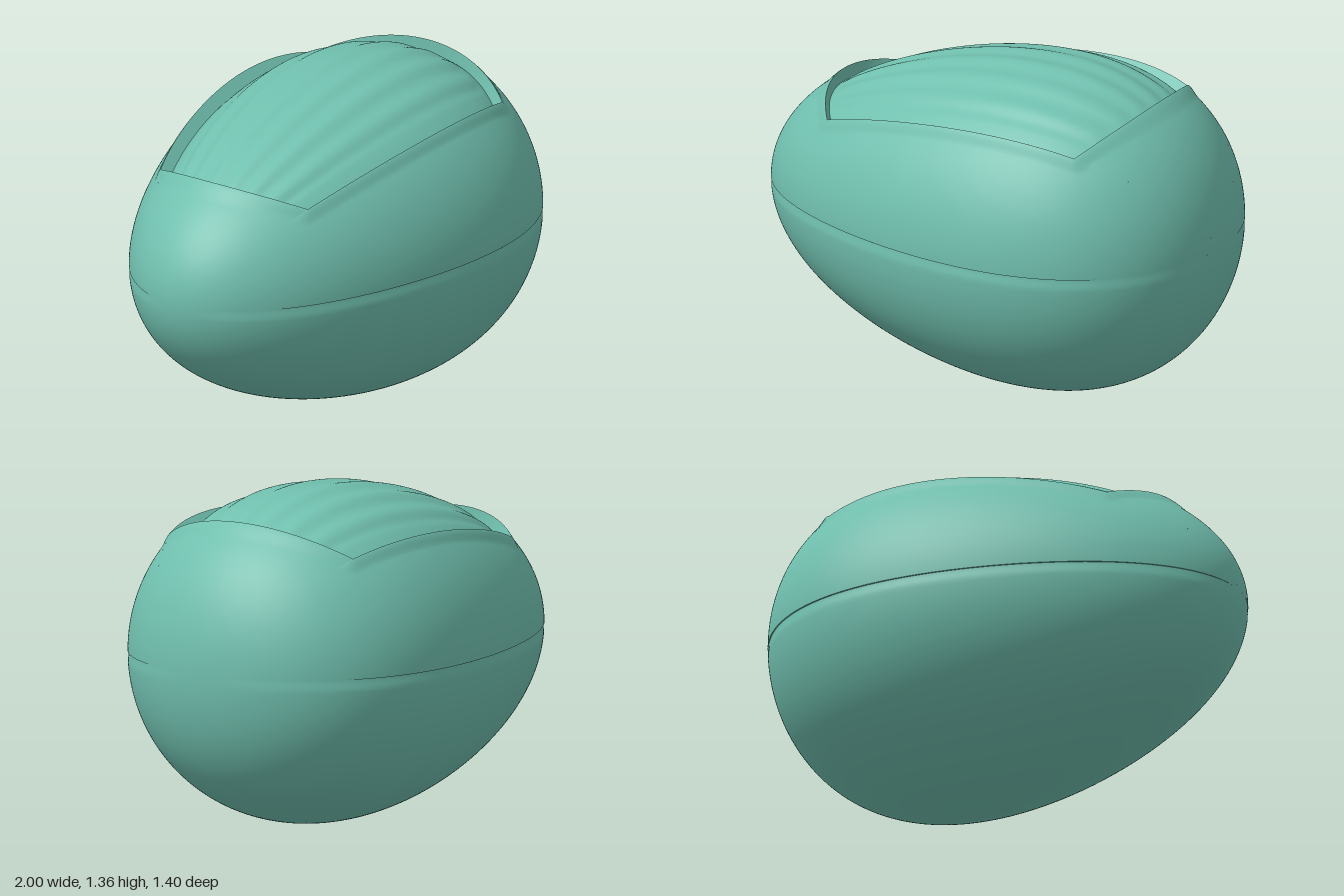
import * as THREE from 'three';

const AXIS_Y = 0.705;          // height of the egg's long axis
const SIDE = Math.PI / 4;      // half angle of the recessed panel
const DEPTH = 0.044;           // panel depth
const lerp = THREE.MathUtils.lerp;
const smooth = THREE.MathUtils.smoothstep;

// Radius of the plain egg at x
const eggR = (x) => Math.sqrt(Math.max(0, 1 - x * x)) * (0.683 + 0.142 * x + 0.061 * x * x);

// End of the panel at angle a around the axis
const panelEnd = (a) => {
  const c = Math.cos(Math.min(Math.abs(a), SIDE));
  return 1.027 * c / Math.sqrt(1 + c * c);
};

// Outer shell: egg plus a soft raised rim around the panel
const shellR = (x, a) => {
  const r = eggR(x);
  const da = Math.max(0, Math.abs(a) - SIDE) * r;
  const dx = Math.max(0, Math.abs(x) - panelEnd(a));
  return r + 0.012 * (1 - smooth(Math.hypot(da, dx), 0, 0.06)) * smooth(r, 0, 0.2);
};

// Panel floor: sunken, with shallow lengthwise ribs
const floorR = (x, a) => {
  const fade = smooth(panelEnd(a) - Math.abs(x), 0, 0.08) * (1 - smooth(Math.abs(a), 0.58, 0.7));
  return eggR(x) - DEPTH - 0.004 * Math.cos(Math.abs(a) * 30) * fade;
};

// Lower shell: its top edge is rounded inwards at the seam
const lowerR = (x, a) => {
  const r = eggR(x);
  const d = Math.min(a - Math.PI / 2, Math.PI * 1.5 - a) * r;
  return r - 0.007 * (1 - smooth(d, 0, 0.05)) * smooth(r, 0, 0.2);
};

const place = (x, a, r) => new THREE.Vector3(x, AXIS_Y + r * Math.cos(a), r * Math.sin(a));

// Grid surface over u, v in 0..1 with smooth normals from its tangents
function patch(fn, nu, nv) {
  const pos = [], nor = [], idx = [], e = 5e-4;
  for (let i = 0; i <= nu; i++) {
    for (let j = 0; j <= nv; j++) {
      const u = i / nu, v = j / nv;
      pos.push(...fn(u, v).toArray());
      const uc = Math.min(1 - 4 * e, Math.max(4 * e, u));
      const vc = Math.min(1 - e, Math.max(e, v));
      const du = fn(uc + e, vc).sub(fn(uc - e, vc));
      const dv = fn(uc, vc + e).sub(fn(uc, vc - e));
      nor.push(...dv.cross(du).normalize().toArray());
      if (i < nu && j < nv) {
        const p = i * (nv + 1) + j, q = p + nv + 1;
        idx.push(p, p + 1, q, q, p + 1, q + 1);
      }
    }
  }
  const g = new THREE.BufferGeometry();
  g.setAttribute('position', new THREE.Float32BufferAttribute(pos, 3));
  g.setAttribute('normal', new THREE.Float32BufferAttribute(nor, 3));
  g.setIndex(idx);
  return g;
}

export function createModel() {
  const model = new THREE.Group();
  const material = new THREE.MeshStandardMaterial({ color: 0x70bfae });
  const wallMaterial = new THREE.MeshStandardMaterial({ color: 0x70bfae, side: THREE.DoubleSide });
  const add = (name, geometry, mat = material) => {
    const mesh = new THREE.Mesh(geometry, mat);
    mesh.name = name;
    model.add(mesh);
  };
  const polar = (t) => -Math.cos(t * Math.PI);

  // Lower half of the shell
  add('lowerShell', patch((u, v) => {
    const x = polar(u), a = lerp(Math.PI / 2, Math.PI * 1.5, v);
    return place(x, a, lowerR(x, a));
  }, 120, 140));

  for (const s of [-1, 1]) {
    // Upper flanks between the seam and the panel
    const from = s > 0 ? SIDE : -Math.PI / 2;
    add(s > 0 ? 'frontFlank' : 'backFlank', patch((u, v) => {
      const x = polar(u), a = from + v * SIDE;
      return place(x, a, shellR(x, a));
    }, 140, 45));

    // Thin lip closing the step at the seam
    add('seamLip', patch((u, v) => {
      const x = polar(u);
      return place(x, s * Math.PI / 2, lerp(eggR(x), lowerR(x, Math.PI / 2), v));
    }, 120, 1), wallMaterial);

    // Shell ends beyond the panel
    add(s > 0 ? 'bluntEnd' : 'pointedEnd', patch((u, v) => {
      const a = lerp(-SIDE, SIDE, v);
      const t = Math.acos(-s * panelEnd(a)) / Math.PI;
      const x = polar(s > 0 ? lerp(t, 1, u) : lerp(0, t, u));
      return place(x, a, shellR(x, a));
    }, 48, 60));

    // Walls of the recess: one long side and one end
    add('panelSideWall', patch((u, v) => {
      const x = lerp(-1, 1, u) * panelEnd(SIDE), a = s * SIDE;
      return place(x, a, lerp(shellR(x, a), floorR(x, a), v));
    }, 80, 2), wallMaterial);
    add('panelEndWall', patch((u, v) => {
      const a = lerp(-SIDE, SIDE, u), x = s * panelEnd(a);
      return place(x, a, lerp(shellR(x, a), floorR(x, a), v));
    }, 60, 2), wallMaterial);
  }

  // Sunken ribbed panel on top
  add('panelFloor', patch((u, v) => {
    const a = lerp(-SIDE, SIDE, v), x = lerp(-1, 1, u) * panelEnd(a);
    return place(x, a, floorR(x, a));
  }, 80, 120));

  return model;
}
